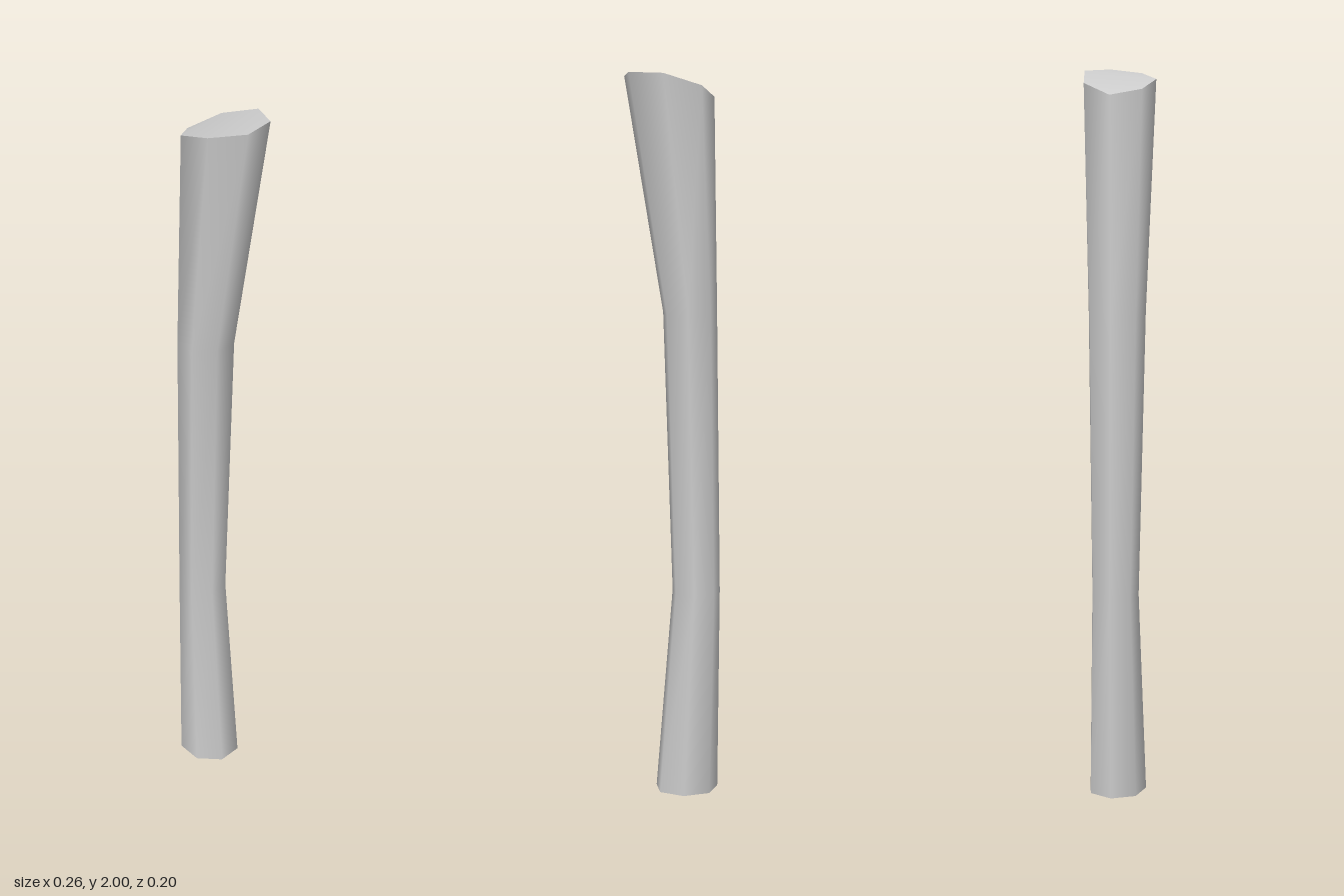
import * as THREE from 'three';

const SIDES = 7;

// Cross-sections from the butt to the flared head: height, centre and radii
const SECTIONS = [
  { y: 0, cx: -0.036, cz: 0.005, rx: 0.089, rz: 0.082 },
  { y: 0.57, cx: -0.062, cz: 0.003, rx: 0.068, rz: 0.067 },
  { y: 1.35, cx: -0.044, cz: 0.004, rx: 0.076, rz: 0.081 },
  { y: 2, cx: 0.016, cz: -0.001, rx: 0.126, rz: 0.101 },
];

// Corner heights of the slanted head
const HEAD_HEIGHTS = [1.99, 1.975, 1.95, 1.935, 1.965, 1.997, 2.0];

// Seven-sided ring with a flat side towards +x
function ring({ y, cx, cz, rx, rz }, heights) {
  return Array.from({ length: SIDES }, (_, i) => {
    const a = ((i + 0.5) / SIDES) * Math.PI * 2;
    return [cx + rx * Math.cos(a), heights ? heights[i] : y, cz + rz * Math.sin(a)];
  });
}

function makeMesh(name, points, index, material) {
  const geometry = new THREE.BufferGeometry();
  geometry.setAttribute('position', new THREE.Float32BufferAttribute(points.flat(), 3));
  geometry.setIndex(index);
  geometry.computeVertexNormals();
  const mesh = new THREE.Mesh(geometry, material);
  mesh.name = name;
  return mesh;
}

export function createModel() {
  const group = new THREE.Group();
  group.name = 'handle';
  const material = new THREE.MeshStandardMaterial({ color: 0xcccccc, side: THREE.DoubleSide });

  const last = SECTIONS.length - 1;
  const rings = SECTIONS.map((s, i) => ring(s, i === last ? HEAD_HEIGHTS : null));

  // Smooth shaft, open at the butt
  const index = [];
  for (let r = 0; r < last; r++) {
    for (let i = 0; i < SIDES; i++) {
      const a = r * SIDES + i;
      const b = r * SIDES + ((i + 1) % SIDES);
      index.push(a, a + SIDES, b, b, a + SIDES, b + SIDES);
    }
  }
  group.add(makeMesh('shaft', rings.flat(), index, material));

  // Slanted cap closing the head, built as a strip across the ring
  const strip = [0, 6, 5, 0, 5, 1, 1, 5, 4, 1, 4, 2, 2, 4, 3];
  group.add(makeMesh('headCap', rings[last], strip, material));

  return group;
}
